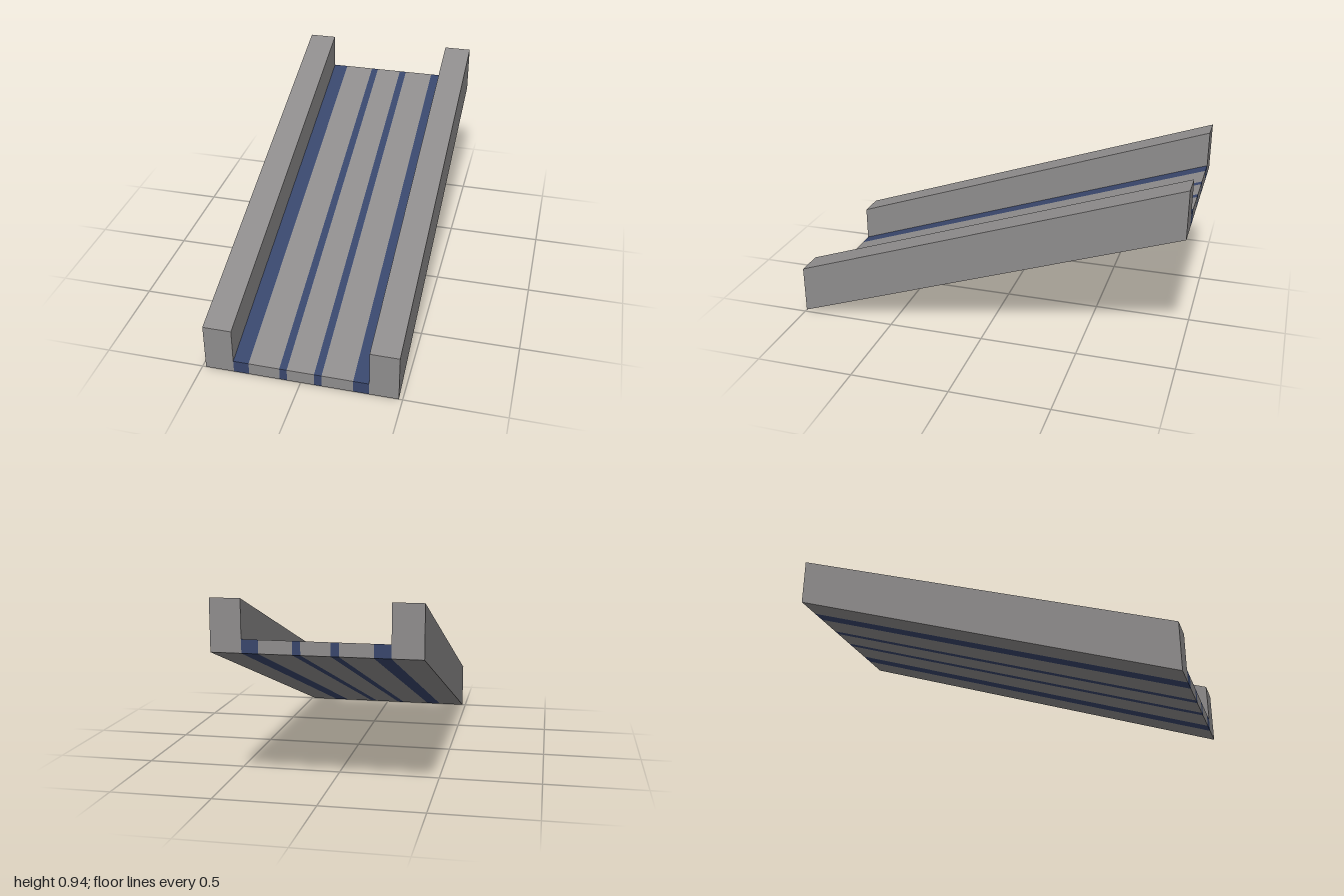
import * as THREE from 'three';

const RISE = 0.69, LENGTH = 2;

// Box whose ends stay upright while its length climbs towards the back
function slopedBeam(name, x0, x1, height, material) {
  const geo = new THREE.BoxGeometry(x1 - x0, height, LENGTH);
  geo.translate((x0 + x1) / 2, height / 2, 0);
  const p = geo.attributes.position;
  for (let i = 0; i < p.count; i++) {
    p.setY(i, p.getY(i) + RISE * (0.5 - p.getZ(i) / LENGTH));
  }
  geo.computeVertexNormals();
  const mesh = new THREE.Mesh(geo, material);
  mesh.name = name;
  return mesh;
}

export function createModel() {
  const ramp = new THREE.Group();
  ramp.name = 'ramp';
  const grey = new THREE.MeshStandardMaterial({ color: 0x8e8c8c, flatShading: true });
  const blue = new THREE.MeshStandardMaterial({ color: 0x38466b, flatShading: true });

  // Deck: alternating blue stripes and grey planks
  const edges = [-0.338, -0.26, -0.105, -0.068, 0.068, 0.105, 0.26, 0.338];
  const deck = new THREE.Group();
  deck.name = 'deck';
  for (let i = 0; i < edges.length - 1; i++) {
    const stripe = i % 2 === 0;
    deck.add(slopedBeam(stripe ? 'stripe' : 'plank', edges[i], edges[i + 1], 0.064, stripe ? blue : grey));
  }
  ramp.add(deck);

  // Side rails
  ramp.add(slopedBeam('leftRail', 0.338, 0.482, 0.247, grey));
  ramp.add(slopedBeam('rightRail', -0.482, -0.338, 0.247, grey));
  return ramp;
}
